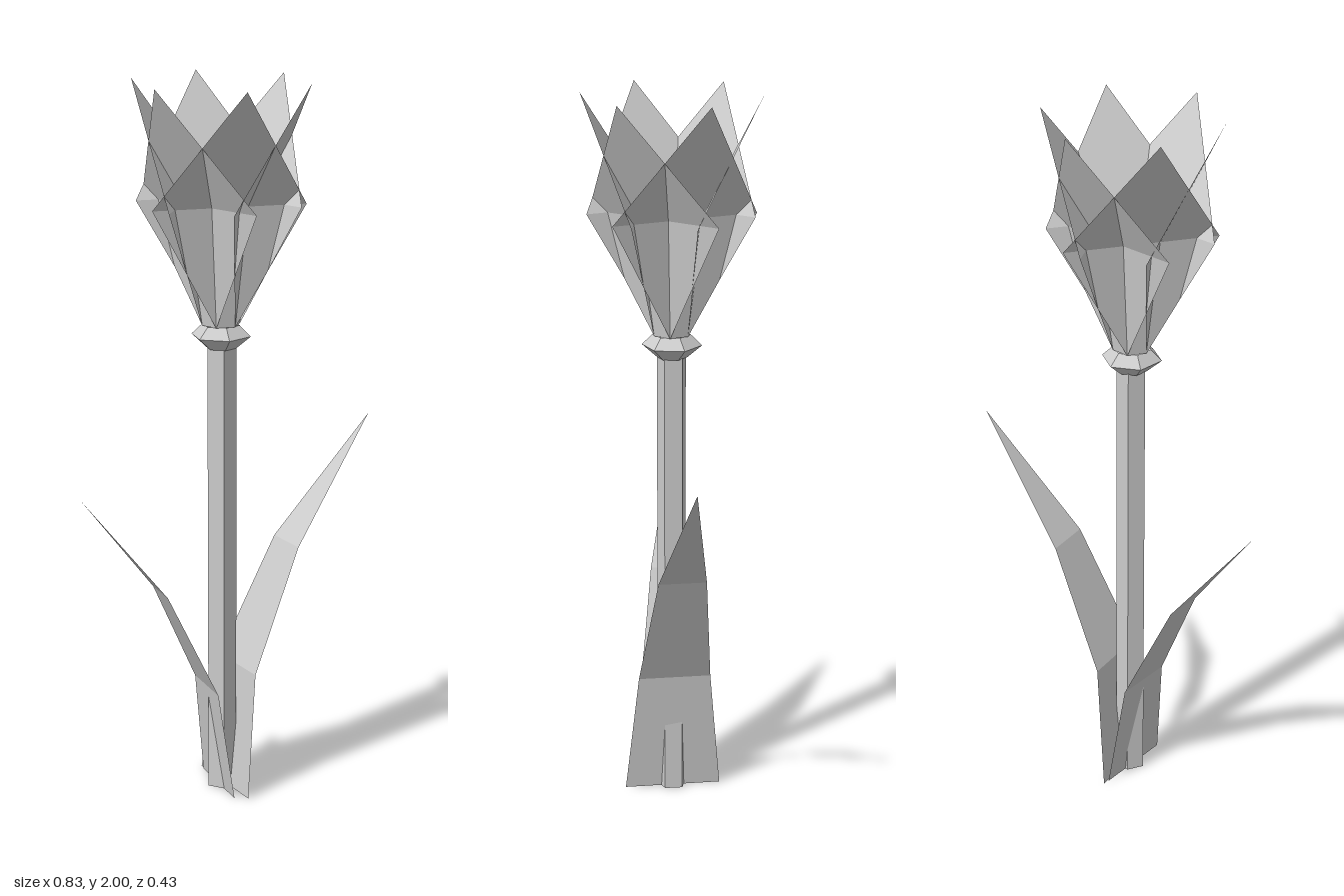
import * as THREE from 'three';

const grey = new THREE.MeshStandardMaterial({ color: 0xcccccc, flatShading: true, side: THREE.DoubleSide });
grey.name = 'plain grey';

// Flat-faced blade growing along +x. Each section is [reach, height, half width]; the last one is the tip.
function bladeGeometry(sections) {
  const positions = [];
  const corner = ([reach, height, half], side) => [reach, height, side * half];
  for (let i = 0; i < sections.length - 1; i++) {
    const a = sections[i], b = sections[i + 1];
    positions.push(...corner(a, 1), ...corner(a, -1), ...corner(b, -1));
    if (b[2] > 0) positions.push(...corner(a, 1), ...corner(b, -1), ...corner(b, 1));
  }
  const geometry = new THREE.BufferGeometry();
  geometry.setAttribute('position', new THREE.Float32BufferAttribute(positions, 3));
  geometry.computeVertexNormals();
  return geometry;
}

function addPart(parent, name, geometry) {
  const mesh = new THREE.Mesh(geometry, grey);
  mesh.name = name;
  parent.add(mesh);
  return mesh;
}

export function createModel() {
  const model = new THREE.Group();
  model.name = 'flower';
  const plant = new THREE.Group();
  plant.name = 'plant';
  plant.position.x = -0.052;
  model.add(plant);

  // Five-sided stem with a corner at the back
  addPart(plant, 'stem', new THREE.CylinderGeometry(0.042, 0.042, 1.28, 5, 1, false, Math.PI))
    .position.y = 0.64;

  // Open six-sided collar under the bloom
  const collar = [[0.042, 1.275], [0.083, 1.31], [0.052, 1.34]].map(([r, y]) => new THREE.Vector2(r, y));
  addPart(plant, 'collar', new THREE.LatheGeometry(collar, 6, Math.PI / 2));

  // Six interlocking petals
  const bloom = new THREE.Group();
  bloom.name = 'bloom';
  plant.add(bloom);
  const petal = bladeGeometry([[0.046, 1.34, 0.027], [0.087, 1.675, 0.213], [0.247, 2, 0]]);
  for (let i = 0; i < 6; i++) addPart(bloom, 'petal', petal).rotation.y = i * Math.PI / 3;

  // Two arching leaves, the right one smaller
  const leaf = bladeGeometry([[0.01, 0, 0.136], [0.052, 0.35, 0.102], [0.21, 0.69, 0.067], [0.478, 1.03, 0]]);
  addPart(plant, 'leftLeaf', leaf).rotation.y = -0.295;
  const rightLeaf = addPart(plant, 'rightLeaf', leaf);
  rightLeaf.rotation.y = Math.PI - 0.417;
  rightLeaf.scale.setScalar(0.864);

  return model;
}
